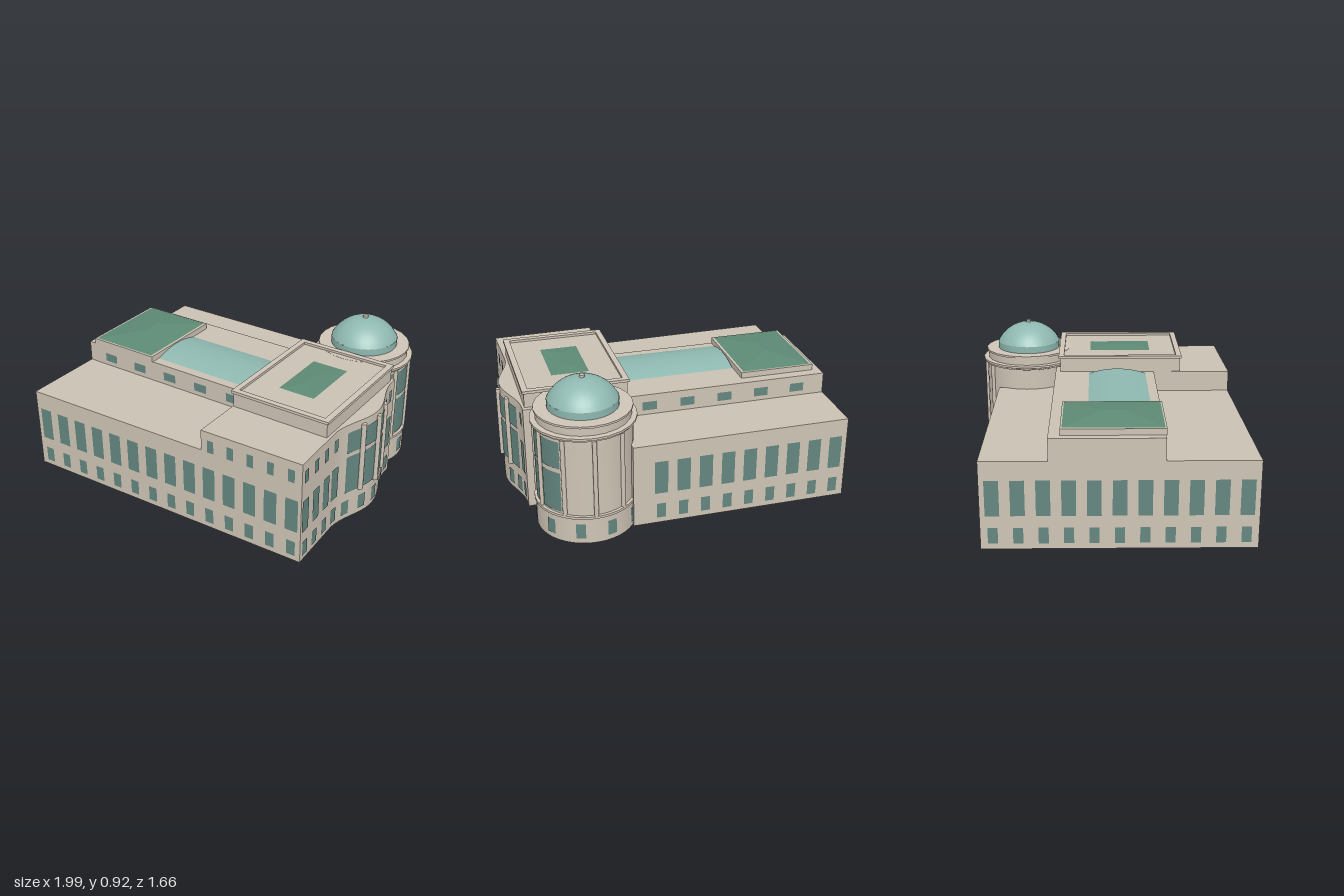
import * as THREE from 'three';
import { toCreasedNormals } from 'three/addons/utils/BufferGeometryUtils.js';

const mat = (name, color) => {
  const m = new THREE.MeshStandardMaterial({ color, side: THREE.DoubleSide });
  m.name = name;
  return m;
};

export function createModel() {
  const model = new THREE.Group();
  model.name = 'building';
  const stone = mat('stone', 0xcfc4b6);
  const roofing = mat('roofing', 0xc9c1b2);
  const glass = mat('glass', 0x648680);
  const copper = mat('paleCopper', 0x8eb8b0);
  const green = mat('greenRoof', 0x5d8a75);

  const add = (name, geo, material, parent = model) => {
    const m = new THREE.Mesh(geo, material);
    m.name = name;
    parent.add(m);
    return m;
  };
  const group = (name) => {
    const g = new THREE.Group();
    g.name = name;
    model.add(g);
    return g;
  };
  const range = (n, start, step) => Array.from({ length: n }, (_, i) => start + i * step);

  // Vertical ribbon that follows plan points [x, z]
  const ribbon = (pts, y0, y1) => {
    const p = [];
    for (let i = 0; i + 1 < pts.length; i++) {
      const [ax, az] = pts[i], [bx, bz] = pts[i + 1];
      p.push(ax, y0, az, bx, y0, bz, bx, y1, bz, ax, y0, az, bx, y1, bz, ax, y1, az);
    }
    const g = new THREE.BufferGeometry();
    g.setAttribute('position', new THREE.Float32BufferAttribute(p, 3));
    g.computeVertexNormals();
    return toCreasedNormals(g, 0.5);
  };
  const rect = (x0, x1, z0, z1) => [[x0, z1], [x1, z1], [x1, z0], [x0, z0]];
  const planShape = (pts) => new THREE.Shape(pts.map(([x, z]) => new THREE.Vector2(x, -z)));

  // Walls and roof of one wing, open underneath
  const block = (name, pts, y0, y1) => {
    const g = group(name);
    add('walls', ribbon([...pts, pts[0]], y0, y1), stone, g);
    add('roof', new THREE.ShapeGeometry(planShape(pts)).rotateX(-Math.PI / 2).translate(0, y1, 0), roofing, g);
    return g;
  };

  // Row of windows; plan(t) gives the wall point at t
  const windowRow = (name, plan, centres, width, y0, y1, steps = 1) => {
    const g = group(name);
    for (const c of centres) {
      const pts = range(steps + 1, c - width / 2, width / steps).map(plan);
      add('window', ribbon(pts, y0, y1), glass, g);
    }
  };
  const twoRows = (name, plan, centres) => {
    windowRow(name + 'TallWindows', plan, centres, 0.08, 0.2, 0.41);
    windowRow(name + 'LowWindows', plan, centres, 0.056, 0.035, 0.13);
  };

  // Low hipped roof
  const hip = (name, x0, x1, z0, z1, y, h) => {
    const c = (x0 + x1) / 2, r = (x1 - x0) / 2;
    const A = [x0, y, z1], B = [x1, y, z1], C = [x1, y, z0], D = [x0, y, z0];
    const P = [c, y + h, z1 - r], Q = [c, y + h, z0 + r];
    const p = [A, B, P, B, C, Q, B, Q, P, C, D, Q, D, A, P, D, P, Q].flat();
    const g = new THREE.BufferGeometry();
    g.setAttribute('position', new THREE.Float32BufferAttribute(p, 3));
    g.computeVertexNormals();
    add(name, g, green);
  };

  // Plan lines of the outer walls
  const W = -0.993;
  const frontZ = (x) => 0.82 - 0.026 * (x - W);
  const eastX = (z) => {
    const t = Math.min(1, Math.abs(z - 0.05) / 0.35);
    return 0.887 + 0.035 * Math.max(0, z - 0.4) + 0.0425 * (1 + Math.cos(Math.PI * t));
  };

  // Wings
  block('frontWing', [[W, 0.82], [0.25, frontZ(0.25)], [0.25, 0.3], [W, 0.3]], 0, 0.52);
  block('middleWing', rect(W, 0.25, -0.34, 0.3), 0, 0.65);
  block('backWing', rect(W, 0.33, -0.72, -0.34), 0, 0.52);
  const eastCurve = range(29, 0.4, -0.025).map((z) => [eastX(z), z]);
  block('eastWing', [[0.25, frontZ(0.25)], [0.9, frontZ(0.9)], ...eastCurve, [0.887, -0.34], [0.25, -0.34]], 0, 0.65);

  // Wall windows
  const cols = range(14, -0.92, 0.1355);
  const frontLine = (x) => [x, frontZ(x) + 0.004];
  twoRows('front', frontLine, cols);
  windowRow('frontUpperWindows', frontLine, range(5, 0.315, 0.13), 0.042, 0.52, 0.6);
  twoRows('frontWingRear', (x) => [x, 0.296], cols.slice(0, 9));
  twoRows('back', (x) => [x, -0.724], cols.slice(0, 9));
  twoRows('west', (z) => [W - 0.004, z], range(11, -0.65, 0.14));
  for (const [name, z] of [['frontClerestory', 0.304], ['backClerestory', -0.344]])
    windowRow(name, (x) => [x, z], range(5, -0.815, 0.236), 0.09, 0.55, 0.605);

  // East wall and its curved bay
  const eastLine = (z) => [eastX(z) + 0.005, z];
  windowRow('eastTallWindows', eastLine, [0.73, 0.61, 0.49, 0.39, -0.275], 0.07, 0.2, 0.41, 4);
  windowRow('eastUpperWindows', eastLine, [0.73, 0.615, 0.5, 0.39, -0.275], 0.042, 0.52, 0.6, 4);
  windowRow('eastLowWindows', eastLine, [0.725, 0.615, 0.5, 0.39, 0.285, 0.16, 0.04, -0.09, -0.19, -0.28], 0.054, 0.035, 0.13, 4);
  windowRow('bayLowerGlass', eastLine, [0.045], 0.49, 0.185, 0.435, 24);
  windowRow('bayUpperGlass', eastLine, [0.045], 0.49, 0.46, 0.6, 24);
  for (const z of [0.18, 0.042, -0.096])
    add('bayColumn', new THREE.CylinderGeometry(0.016, 0.017, 0.445, 12).translate(eastX(z) + 0.007, 0.4, z), stone);

  // East penthouse with raised cornice and skylight
  block('penthouse', rect(0.255, 0.872, -0.31, 0.47), 0.65, 0.741);
  const cornice = planShape(rect(0.245, 0.882, -0.32, 0.48));
  cornice.holes.push(planShape(rect(0.28, 0.845, -0.285, 0.445)));
  add('penthouseCornice', new THREE.ExtrudeGeometry(cornice, { depth: 0.017, bevelEnabled: false })
    .rotateX(-Math.PI / 2).translate(0, 0.739, 0), stone);
  hip('skylight', 0.445, 0.675, -0.115, 0.28, 0.743, 0.01);

  // West pavilion and barrel skylight
  block('pavilionBase', rect(-0.945, -0.475, -0.275, 0.305), 0.65, 0.687);
  hip('pavilionRoof', -0.93, -0.49, -0.265, 0.295, 0.689, 0.026);
  const R = 0.555, half = Math.asin(0.183 / R);
  const arch = new THREE.Shape();
  arch.absarc(0, 0, R, Math.PI / 2 - half, Math.PI / 2 + half, false);
  const vault = new THREE.ExtrudeGeometry(arch, { depth: 0.68, bevelEnabled: false, curveSegments: 16 });
  add('barrelSkylight', vault.rotateY(Math.PI / 2).translate(-0.47, 0.683 - R, 0.06), copper);

  // Round corner tower
  const TX = 0.57, TZ = -0.53;
  const lathe = (name, pts, material, seg = 24) => {
    const g = new THREE.LatheGeometry(pts.map(([r, y]) => new THREE.Vector2(r, y)), seg);
    add(name, toCreasedNormals(g, 0.6).translate(TX, 0, TZ), material);
  };
  lathe('towerWall', [[0.293, 0], [0.293, 0.163], [0.301, 0.163], [0.301, 0.178], [0.283, 0.178], [0.283, 0.655]], stone, 40);
  lathe('towerCornice', [[0.283, 0.65], [0.297, 0.655], [0.297, 0.663], [0.307, 0.667], [0.307, 0.68], [0.275, 0.682],
    [0.275, 0.728], [0.284, 0.73], [0.284, 0.742], [0, 0.742]], stone);
  const capR = 0.231;
  const cap = range(13, 0, 1 / 12).map((t) => {
    const a = (1 - t) * Math.asin(0.205 / capR);
    return [capR * Math.sin(a), 0.91 - capR + capR * Math.cos(a)];
  });
  lathe('domeDrum', [[0.206, 0.74], [0.206, 0.786]], copper, 32);
  lathe('dome', cap, copper, 32);
  lathe('finial', [[0.016, 0.9], [0.016, 0.924], [0, 0.924]], stone, 12);

  // Tower windows and columns in ten bays, left out where the wings join
  const onTower = (r) => (a) => [TX + r * Math.cos(a), TZ + r * Math.sin(a)];
  const bay = Math.PI / 5;
  const inWing = ([x, z]) => z > -0.31 || (x < 0.35 && z > -0.7);
  const lowBays = range(10, 0, bay).filter((a) => !inWing(onTower(0.29)(a)));
  windowRow('towerLowWindows', onTower(0.297), lowBays, 0.19, 0.035, 0.13, 4);
  const glazed = [-bay, 0, bay];
  windowRow('towerTallWindows', onTower(0.287), glazed, 0.475, 0.19, 0.44, 8);
  windowRow('towerUpperWindows', onTower(0.287), glazed, 0.475, 0.465, 0.635, 8);
  for (const a of range(10, bay / 2, bay)) {
    const [x, z] = onTower(0.288)(a);
    if (!inWing([x, z]))
      add('towerColumn', new THREE.CylinderGeometry(0.013, 0.013, 0.477, 10).translate(x, 0.4165, z), stone);
  }
  return model;
}
